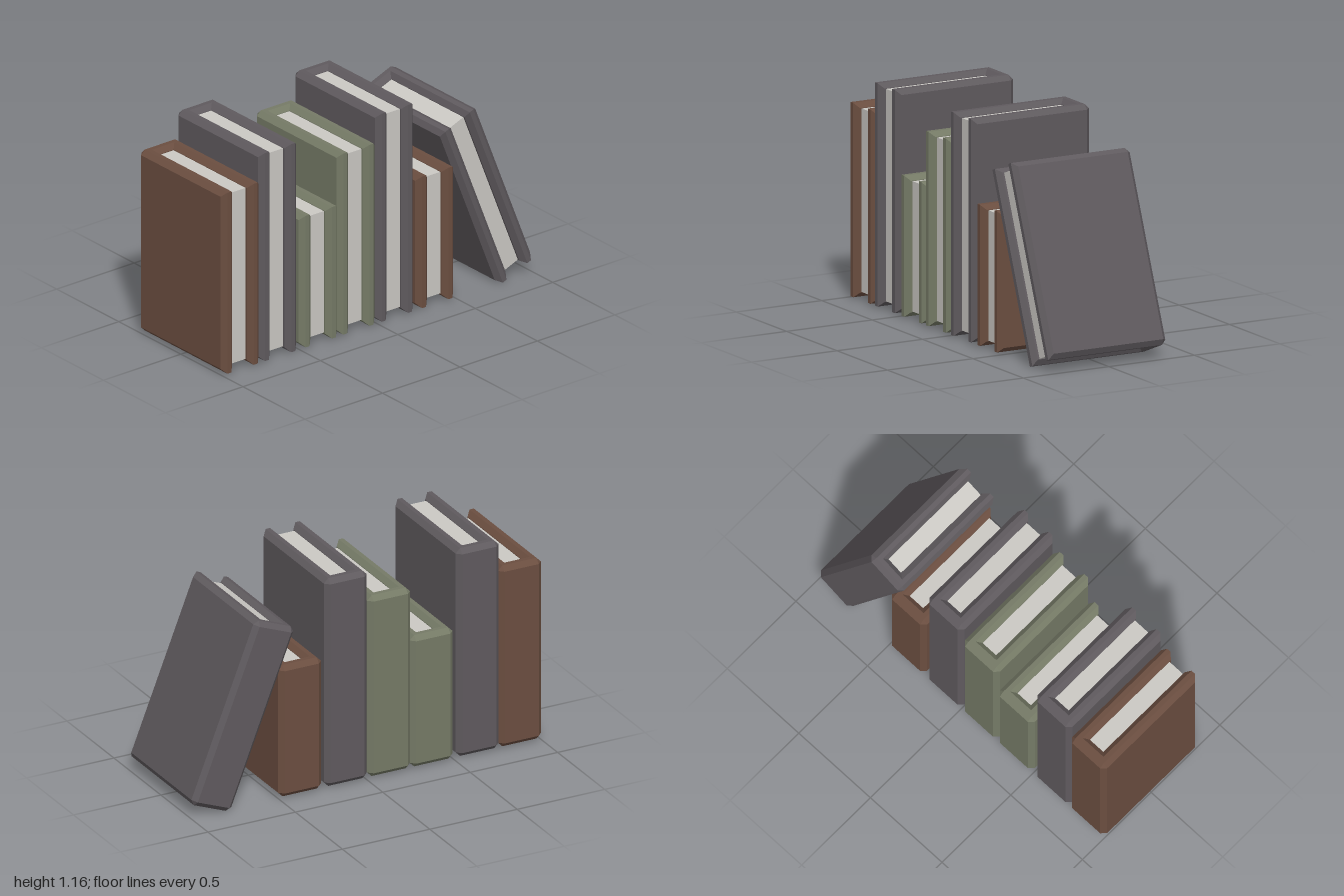
import * as THREE from 'three';

const W = 0.1225;  // half thickness of a book
const D = 0.345;   // half depth
const T = 0.075;   // board thickness
const C = 0.025;   // chamfer

const BROWN = 0x6b4e40, GREY = 0x5f5a5e, GREEN = 0x757a66, PAPER = 0xcbc9c4;

// U-shaped plan of the cover, open to the front; the end rings are chamfered in
function coverRing(y, isEnd) {
  const half = isEnd
    ? [[W - C, -D + C], [W - C, -D + C], [W - C, D], [W - C, D],
       [W - T + C, D], [W - T + C, D], [W - T + C, -D + T - C]]
    : [[W - C, -D], [W, -D + C], [W, D - C], [W - C, D],
       [W - T + C, D], [W - T, D - C], [W - T, -D + T]];
  const mirrored = half.map(([x, z]) => [-x, z]).reverse();
  return [...half, ...mirrored].flatMap(([x, z]) => [x, y, z]);
}

function coverGeometry(h) {
  const levels = [[0, true], [C, false], [h - C, false], [h, true]];
  const n = 14;
  const positions = levels.flatMap(([y, isEnd]) => coverRing(y, isEnd));
  const index = [];
  const quad = (a, b, c, d) => index.push(a, b, c, a, c, d);

  // walls between neighbouring rings
  for (let r = 0; r < levels.length - 1; r++) {
    for (let i = 0; i < n; i++) {
      const j = (i + 1) % n;
      quad(r * n + i, (r + 1) * n + i, (r + 1) * n + j, r * n + j);
    }
  }
  // flat rims: two boards and the spine, at the top and the bottom
  const top = (levels.length - 1) * n;
  for (const [a, b, c, d] of [[6, 4, 2, 0], [13, 11, 9, 7], [0, 13, 7, 6]]) {
    quad(top + a, top + b, top + c, top + d);
    quad(d, c, b, a);
  }

  const g = new THREE.BufferGeometry();
  g.setAttribute('position', new THREE.Float32BufferAttribute(positions, 3));
  g.setIndex(index);
  const flat = g.toNonIndexed();
  flat.computeVertexNormals();
  return flat;
}

// A book centred on its own origin
function makeBook(name, h, color) {
  const book = new THREE.Group();
  book.name = name;

  const cover = new THREE.Mesh(
    coverGeometry(h).translate(0, -h / 2, 0),
    new THREE.MeshStandardMaterial({ color, flatShading: true }));
  cover.name = 'cover';

  // page block, tucked slightly into the boards and spine
  const back = -D + T - 0.01, front = 0.31;
  const pages = new THREE.Mesh(
    new THREE.BoxGeometry(2 * (W - T) + 0.006, h - 0.056, front - back),
    new THREE.MeshStandardMaterial({ color: PAPER, flatShading: true }));
  pages.name = 'pages';
  pages.position.z = (front + back) / 2;

  book.add(cover, pages);
  return book;
}

export function createModel() {
  const model = new THREE.Group();
  model.name = 'rowOfBooks';

  // upright books: centre x, height, colour
  const upright = [
    [-0.878, 1.005, BROWN],
    [-0.636, 1.155, GREY],
    [-0.373, 0.73, GREEN],
    [-0.13, 1.005, GREEN],
    [0.118, 1.155, GREY],
    [0.379, 0.73, BROWN],
  ];
  upright.forEach(([x, h, color], i) => {
    const book = makeBook(`uprightBook${i + 1}`, h, color);
    book.position.set(x, 0.01 + h / 2, 0);
    model.add(book);
  });

  // last book leans against the row
  const leaning = makeBook('leaningBook', 1.015, GREY);
  leaning.position.set(0.707, 0.509, 0);
  leaning.rotation.z = THREE.MathUtils.degToRad(21.5);
  model.add(leaning);

  return model;
}
